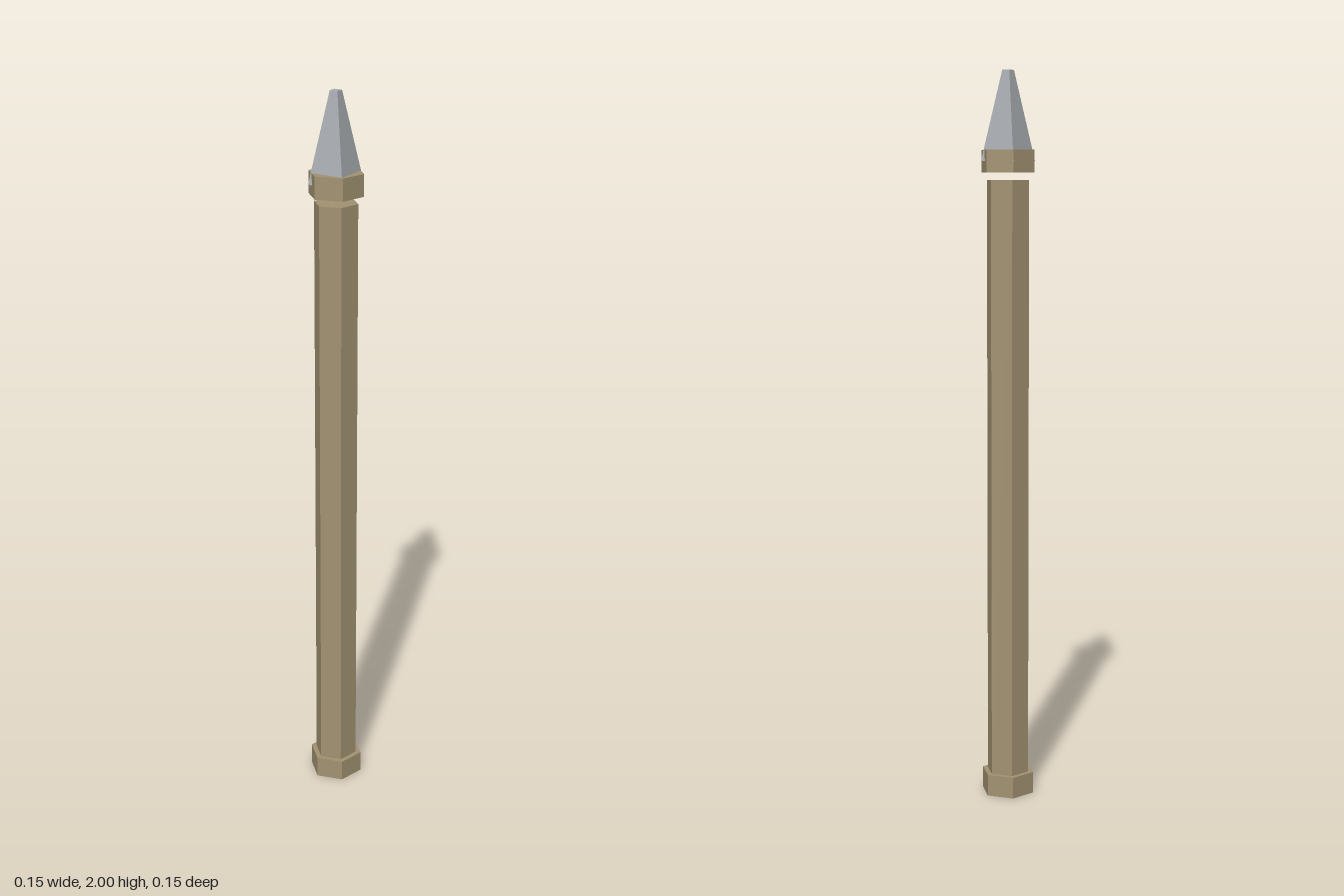
import * as THREE from 'three';

export function createModel() {
  const model = new THREE.Group();
  const wood = new THREE.MeshStandardMaterial({ color: 0xa39372, flatShading: true });
  const steel = new THREE.MeshStandardMaterial({ color: 0xaaaeb2, flatShading: true });

  // Upright prism between two heights, with a corner facing +z
  function prism(name, material, sides, bottomRadius, topRadius, y0, y1) {
    const geometry = new THREE.CylinderGeometry(topRadius, bottomRadius, y1 - y0, sides);
    geometry.translate(0, (y0 + y1) / 2, 0);
    const mesh = new THREE.Mesh(geometry, material);
    mesh.name = name;
    model.add(mesh);
    return mesh;
  }

  // Hexagonal handle with a collar at each end; the upper one floats just above it
  prism('bottomCollar', wood, 6, 0.075, 0.075, 0, 0.06);
  prism('shaft', wood, 6, 0.06, 0.06, 0.06, 1.71);
  prism('topCollar', wood, 6, 0.075, 0.075, 1.73, 1.79);

  // Four-sided blunt point, its side corners poking through the collar
  const tip = prism('tip', steel, 4, 0.074, 0.016, 1.76, 2);
  tip.position.z = -0.002;

  return model;
}
